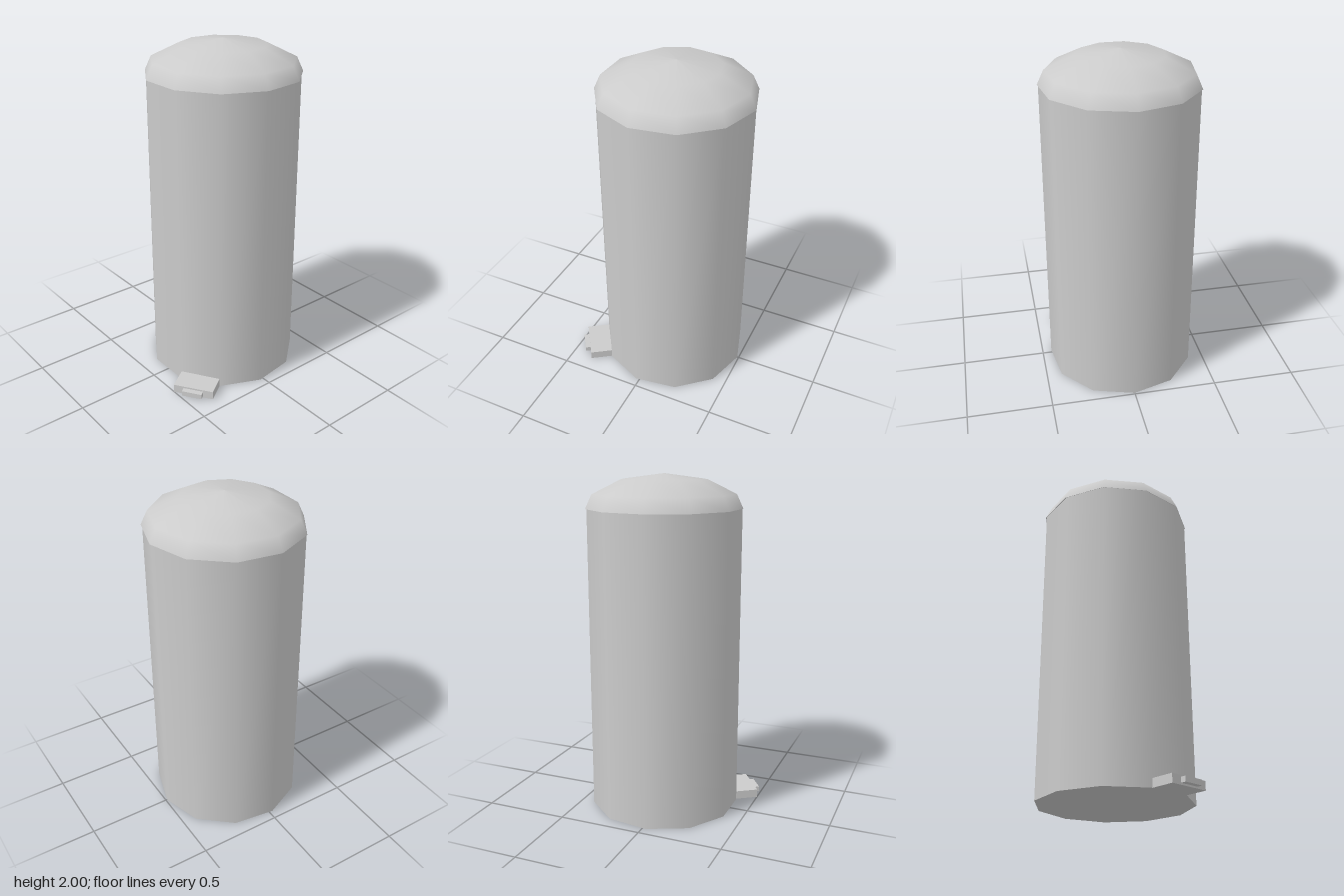
import * as THREE from 'three';

const SIDES = 11;

export function createModel() {
  const model = new THREE.Group();
  const material = new THREE.MeshStandardMaterial({ color: 0xcccccc });
  const thin = new THREE.MeshStandardMaterial({ color: 0xcccccc, side: THREE.DoubleSide });

  const add = (parent, name, geometry, mat, x, y, z) => {
    const mesh = new THREE.Mesh(geometry, mat);
    mesh.name = name;
    mesh.position.set(x, y, z);
    parent.add(mesh);
    return mesh;
  };

  // Tank wall with flat floor, one corner pointing to +x
  const wallHeight = 1.805;
  add(model, 'tankBody',
    new THREE.CylinderGeometry(0.449, 0.449, wallHeight, SIDES, 1, false, Math.PI / 2),
    material, 0.042, wallHeight / 2, 0);

  // Shallow dome, overhanging the wall slightly
  const profile = [[0.455, 1.803], [0.417, 1.885], [0.25, 1.967], [0, 2]]
    .map(([r, y]) => new THREE.Vector2(r, y));
  add(model, 'domeRoof', new THREE.LatheGeometry(profile, SIDES, Math.PI / 2), thin, 0.044, 0, 0);

  // Low outlet at the foot of one wall panel; local +x points outward
  const outlet = new THREE.Group();
  outlet.name = 'outlet';
  outlet.position.x = 0.044;
  outlet.rotation.y = Math.PI + 0.593;
  add(outlet, 'outletBlock', new THREE.BoxGeometry(0.169, 0.05, 0.243), material, 0.4845, 0.025, 0.009);
  add(outlet, 'outletSpout', new THREE.BoxGeometry(0.04, 0.03, 0.121), material, 0.581, 0.025, 0.009);
  model.add(outlet);

  return model;
}
